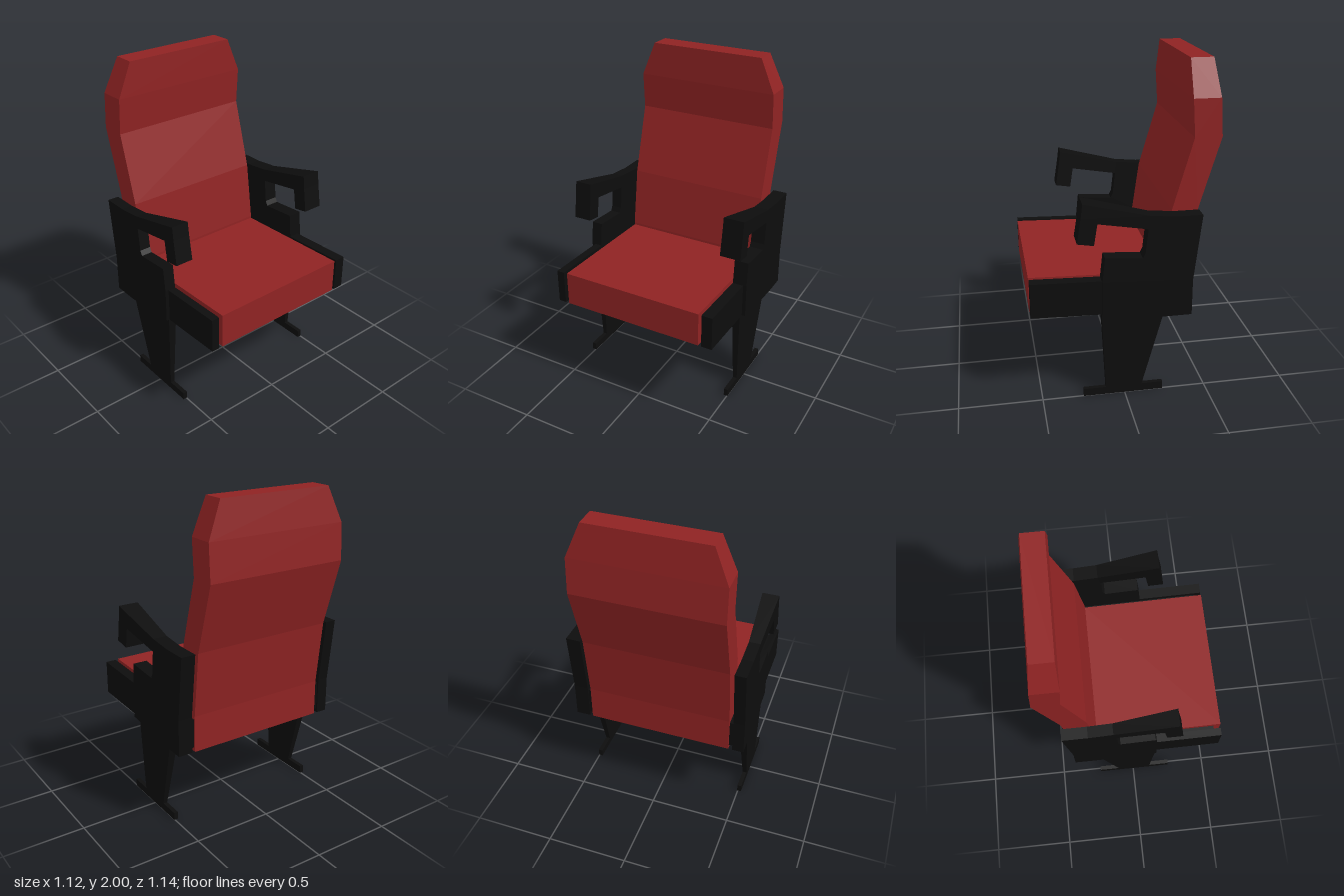
import * as THREE from 'three';

const red = new THREE.MeshStandardMaterial({ color: 0x8f2323 });
red.name = 'red upholstery';
const black = new THREE.MeshStandardMaterial({ color: 0x0d0d0d });
black.name = 'black frame';

// Side outline (x, y) stretched across z; zRange(x, y) gives the two z limits at each corner.
function slab(name, outline, material, zRange) {
  const shape = new THREE.Shape(outline.map(([x, y]) => new THREE.Vector2(x, y)));
  const geo = new THREE.ExtrudeGeometry(shape, { depth: 1, bevelEnabled: false });
  const pos = geo.attributes.position;
  for (let i = 0; i < pos.count; i++) {
    const [near, far] = zRange(pos.getX(i), pos.getY(i));
    pos.setZ(i, near + (far - near) * pos.getZ(i));
  }
  geo.computeVertexNormals();
  const mesh = new THREE.Mesh(geo, material);
  mesh.name = name;
  return mesh;
}

// side = 1 or -1; orders two distances from the centre as [low z, high z]
const span = (side, inner, outer) => (side > 0 ? [inner, outer] : [-outer, -inner]);

function createSide(side) {
  const group = new THREE.Group();
  group.name = side > 0 ? 'rightSideFrame' : 'leftSideFrame';
  const inner = side > 0 ? 0.482 : 0.463;
  const legMid = side > 0 ? 0.509 : 0.491;

  // Upright panel beside the seat and backrest
  group.add(slab('sidePanel', [
    [-0.435, 1.15], [-0.39, 0.75], [-0.39, 0.525], [-0.23, 0.525], [0.143, 0.563],
    [0.143, 0.775], [0.128, 0.925], [-0.09, 0.91], [-0.105, 0.94], [-0.12, 1.085],
    [-0.13, 1.165], [-0.28, 1.15],
  ], black, () => span(side, inner, 0.552)));

  // Armrest, widening towards its hooked front end
  group.add(slab('armrest', [
    [-0.13, 1.165], [-0.12, 1.085], [0.172, 1.14], [0.192, 1.012],
    [0.288, 1.03], [0.265, 1.18], [0.255, 1.262],
  ], black, (x) => {
    const t = Math.max(0, (x + 0.125) / 0.413);
    return span(side, inner - 0.024 * t, 0.552 + 0.016 * t);
  }));

  // Rail along the seat edge, with a thin hinge plate behind it
  group.add(slab('seatRail', [[0.1, 0.56], [0.555, 0.574], [0.555, 0.787], [0.1, 0.773]],
    black, () => span(side, inner, 0.53)));
  group.add(slab('hingePlate', [[-0.38, 0.55], [0.1, 0.585], [0.515, 0.6], [0.515, 0.76], [-0.38, 0.73]],
    black, () => span(side, 0.44, inner + 0.005)));

  // Leg, thinner towards the floor
  group.add(slab('leg', [[-0.1, 0.03], [0.115, 0.03], [0.143, 0.57], [-0.24, 0.57]], black, (x, y) => {
    const half = 0.012 + 0.014 * y / 0.57;
    return span(side, legMid - half, legMid + half);
  }));
  group.add(slab('foot', [[-0.235, 0], [0.25, 0], [0.25, 0.048], [-0.235, 0.048]], black,
    () => span(side, legMid - 0.013, legMid + 0.013)));
  return group;
}

export function createModel() {
  const model = new THREE.Group();
  model.name = 'auditoriumChair';
  const cushion = () => [-0.444, 0.457];

  // Bent backrest and its tapered head section
  model.add(slab('backrest', [
    [-0.39, 0.525], [-0.23, 0.525], [-0.23, 0.78], [-0.28, 1.15], [-0.4, 1.57], [-0.385, 1.79],
    [-0.545, 1.79], [-0.56, 1.57], [-0.435, 1.15], [-0.39, 0.75],
  ], red, cushion));
  model.add(slab('headrest', [[-0.545, 1.79], [-0.385, 1.79], [-0.385, 2], [-0.518, 2]], red,
    (x, y) => (y > 1.9 ? [-0.355, 0.369] : cushion())));

  // Seat cushion, tilted slightly backwards
  model.add(slab('seat', [[-0.23, 0.525], [0.557, 0.576], [0.557, 0.79], [-0.23, 0.765]], red, cushion));

  for (const side of [1, -1]) model.add(createSide(side));
  return model;
}
